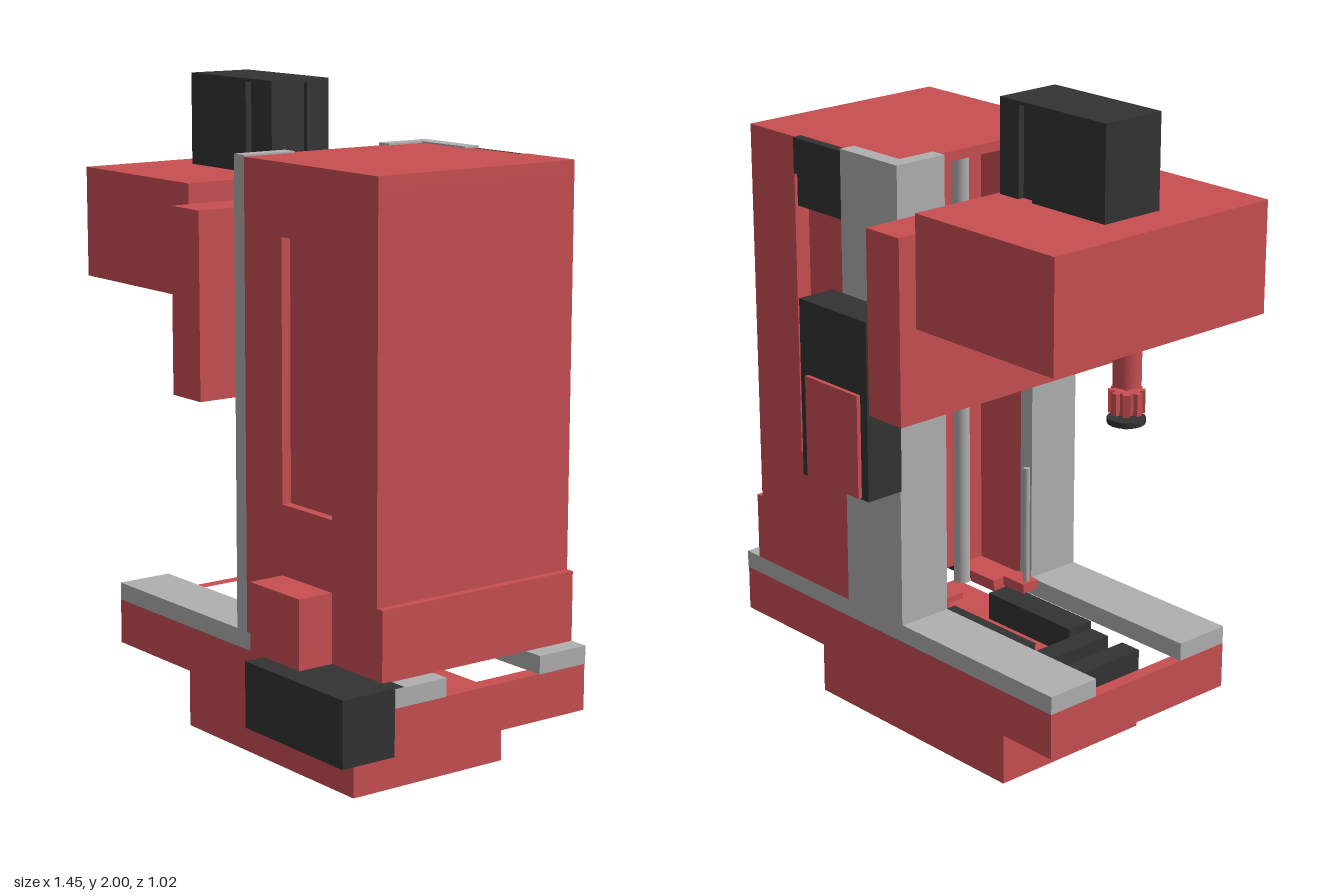
import * as THREE from 'three';

const paint = (color) => new THREE.MeshStandardMaterial({ color });
const RED = paint(0xc94f52), BLACK = paint(0x333333), GREY = paint(0xb0b0b0);

export function createModel() {
  const model = new THREE.Group();

  function add(name, geometry, material) {
    const mesh = new THREE.Mesh(geometry, material);
    mesh.name = name;
    model.add(mesh);
    return mesh;
  }
  // box from its limits on each axis
  function box(name, material, x0, x1, y0, y1, z0, z1) {
    const mesh = add(name, new THREE.BoxGeometry(x1 - x0, y1 - y0, z1 - z0), material);
    mesh.position.set((x0 + x1) / 2, (y0 + y1) / 2, (z0 + z1) / 2);
    return mesh;
  }
  // vertical cylinder between two heights
  function rod(name, material, x, z, r, y0, y1, sides = 24) {
    const mesh = add(name, new THREE.CylinderGeometry(r, r, y1 - y0, sides), material);
    mesh.position.set(x, (y0 + y1) / 2, z);
    return mesh;
  }
  const outline = (points) => new THREE.Shape(points.map(([x, y]) => new THREE.Vector2(x, y)));
  const rect = (x0, x1, y0, y1) => [[x0, y0], [x1, y0], [x1, y1], [x0, y1]];
  // floor plan of [x, z] points raised from y0 to y1
  function plan(name, material, points, y0, y1, hole) {
    const shape = outline(points.map(([x, z]) => [x, -z]));
    if (hole) shape.holes.push(outline(hole.map(([x, z]) => [x, -z])));
    const geometry = new THREE.ExtrudeGeometry(shape, { depth: y1 - y0, bevelEnabled: false });
    geometry.rotateX(-Math.PI / 2).translate(0, y0, 0);
    return add(name, geometry, material);
  }
  // upright wall with a window, z0 to z1
  function windowWall(name, x0, x1, y0, y1, z0, z1, hole) {
    const shape = outline(rect(x0, x1, y0, y1));
    shape.holes.push(outline(hole));
    const geometry = new THREE.ExtrudeGeometry(shape, { depth: z1 - z0, bevelEnabled: false });
    geometry.translate(0, 0, z0);
    return add(name, geometry, RED);
  }

  // Base: pedestal and hollow bed with two slide rails
  box('pedestal', RED, -0.39, 0.445, 0, 0.215, -0.295, 0.26);
  plan('bedFrame', RED, rect(-0.67, 0.722, -0.37, 0.33), 0.215, 0.355, rect(-0.63, 0.67, -0.195, 0.15));
  box('bedFloor', RED, -0.63, 0.67, 0.215, 0.25, -0.195, 0.15);
  box('frontBedRail', GREY, -0.67, 0.725, 0.355, 0.41, 0.15, 0.33);
  box('backBedRail', GREY, -0.67, 0.725, 0.355, 0.41, -0.37, -0.195);
  for (const x of [-0.5, -0.37]) box('bedCrossBeam', BLACK, x, x + 0.07, 0.25, 0.33, -0.195, 0.15);
  for (const z of [0.1, -0.13]) {
    box('slideBlock', BLACK, -0.3, 0.06, 0.27, 0.357, z - 0.045, z + 0.045);
    box('slideFoot', RED, 0.06, 0.17, 0.355, 0.39, z - 0.022, z + 0.022);
    box('slideBracket', RED, 0.03, 0.2, 0.39, 0.41, z - 0.052, z + 0.052);
  }
  box('bedMotor', BLACK, 0.265, 0.722, 0.215, 0.412, 0.3, 0.51);
  box('junctionBox', RED, 0.2, 0.435, 0.41, 0.62, 0.33, 0.445);

  // Column: open channel towards the head, closed by a cap
  const channel = [[0.02, 0.3], [0.64, 0.3], [0.64, -0.32], [0.02, -0.32],
    [0.02, -0.195], [0.2, -0.195], [0.2, 0.15], [0.02, 0.15]];
  plan('columnCore', RED, channel, 0.41, 1.78);
  box('columnCap', RED, 0, 0.64, 1.78, 1.81, -0.194, 0.15);
  plan('columnTop', RED, [[0.02, 0.3], [0.64, 0.3], [0.64, -0.345], [0.22, -0.345],
    [0.22, -0.32], [0.02, -0.32]], 1.78, 1.81);
  const panel = rect(0.2, 0.435, 0.83, 1.6);
  windowWall('columnFrontWall', 0.02, 0.64, 0.41, 1.81, 0.3, 0.33, panel);
  box('columnBackPanel', RED, 0.435, 0.64, 0.62, 1.81, -0.37, -0.32);
  box('columnBackLower', RED, 0.22, 0.435, 0.62, 0.83, -0.37, -0.32);
  box('columnBackUpper', BLACK, 0.22, 0.435, 1.7, 1.808, -0.372, -0.32);
  box('columnBackStep', BLACK, 0.22, 0.435, 1.6, 1.7, -0.36, -0.32);
  box('columnFootSide', RED, 0.64, 0.665, 0.41, 0.62, -0.37, 0.33);
  box('columnFootBack', RED, 0.22, 0.64, 0.41, 0.62, -0.37, -0.32);

  // Vertical guide ways
  box('frontColumnRail', GREY, -0.03, 0.02, 0.41, 1.815, 0.15, 0.33);
  plan('backColumnRail', GREY, [[-0.03, -0.195], [0.02, -0.195], [0.02, -0.32], [0.22, -0.32],
    [0.22, -0.372], [-0.03, -0.372]], 0.41, 1.815);
  rod('liftScrew', GREY, 0.1, -0.02, 0.025, 0.41, 1.78);
  rod('guideRod', GREY, -0.05, 0.11, 0.01, 0.41, 0.79, 12);
  box('guideRodFoot', RED, -0.07, 0.02, 0.39, 0.42, 0.08, 0.14);
  box('liftMotor', BLACK, -0.035, 0.265, 0.84, 1.385, -0.497, -0.372);
  box('liftMotorCover', RED, -0.005, 0.23, 0.845, 1.16, -0.51, -0.49);

  // Head: saddle, spindle housing and grooved motor
  box('saddle', RED, -0.175, -0.035, 1.105, 1.66, -0.49, 0.45);
  for (const [z0, z1] of [[-0.19, -0.14], [-0.12, -0.035], [0, 0.15]]) {
    box('saddleLink', RED, -0.035, 0.05, 1.2, 1.5, z0, z1);
  }
  for (const y of [1.19, 1.265]) box('saddlePin', GREY, -0.24, -0.175, y - 0.007, y + 0.007, -0.03, -0.01);
  box('spindleHousing', RED, -0.73, -0.175, 1.385, 1.72, -0.43, 0.39);
  plan('spindleMotor', BLACK, [[-0.605, 0.085], [-0.317, 0.085], [-0.317, 0.065], [-0.262, 0.065],
    [-0.262, 0.085], [-0.185, 0.085], [-0.185, 0.01], [-0.2, 0.01], [-0.2, -0.045], [-0.185, -0.045],
    [-0.185, -0.125], [-0.262, -0.125], [-0.262, -0.105], [-0.317, -0.105], [-0.317, -0.125],
    [-0.605, -0.125]], 1.72, 1.99);
  box('spindleMotorCap', BLACK, -0.605, -0.185, 1.99, 2, -0.125, 0.085);

  // Spindle and cutter
  const sx = -0.597, sz = -0.02;
  rod('spindleShaft', RED, sx, sz, 0.01, 1.105, 1.39, 12);
  rod('spindleNose', RED, sx, sz, 0.041, 1.235, 1.372);
  rod('toolHolder', RED, sx, sz, 0.038, 1.155, 1.22);
  for (let i = 0; i < 8; i++) {
    const a = (i / 8) * Math.PI * 2;
    const lug = box('toolHolderLug', RED, -0.012, 0.012, 1.155, 1.22, -0.01, 0.01);
    lug.position.x = sx + Math.cos(a) * 0.04;
    lug.position.z = sz + Math.sin(a) * 0.04;
    lug.rotation.y = -a;
  }
  rod('cutter', BLACK, sx, sz, 0.055, 1.123, 1.14, 16);

  return model;
}
